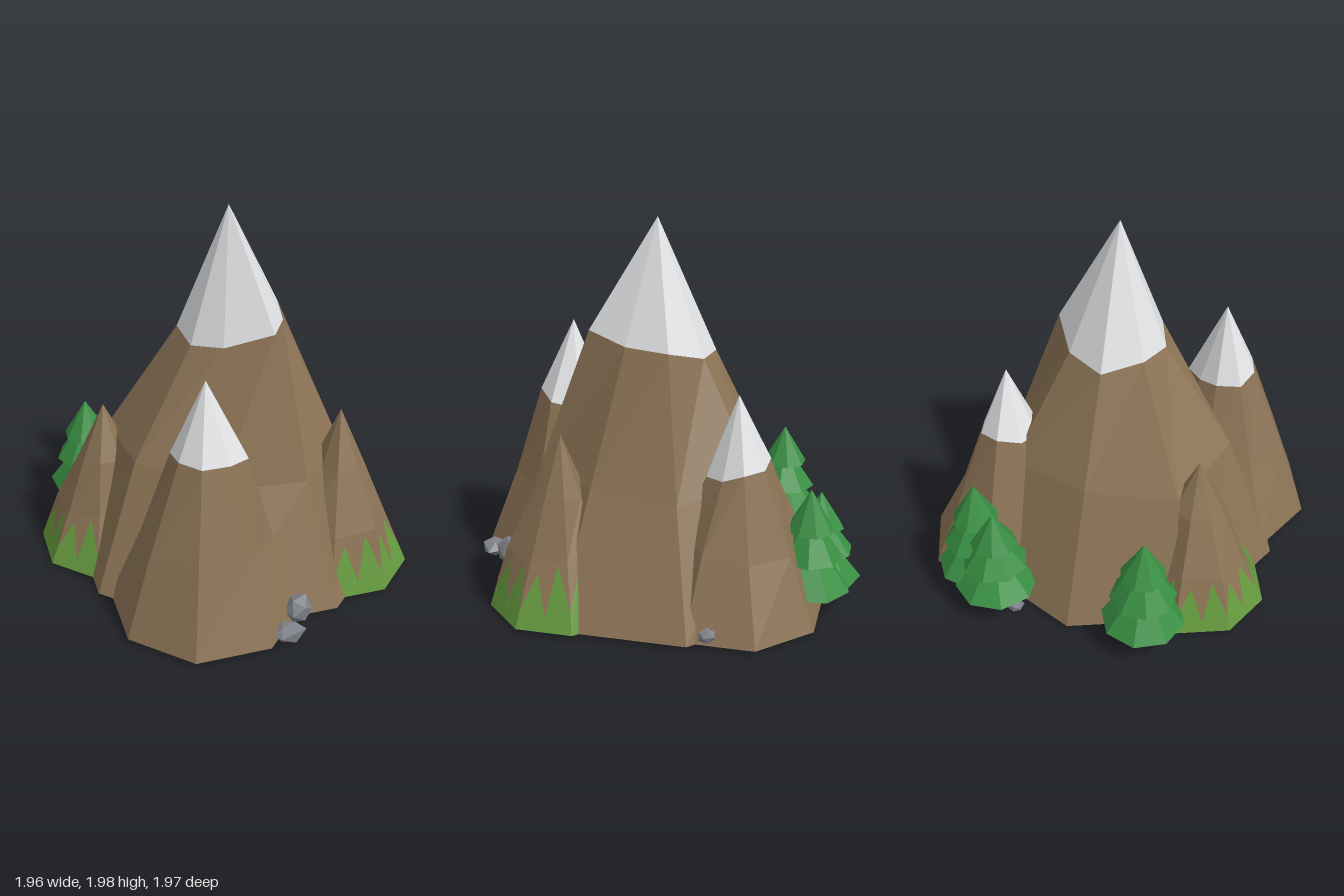
import * as THREE from 'three';

const flat = (name, color) => {
  const m = new THREE.MeshStandardMaterial({ color, flatShading: true });
  m.name = name;
  return m;
};

const SIDES = 8;
const GROUND = 0.04;

// small seeded jitter in -1..1
function seeded(seed) {
  let s = seed;
  return () => {
    s = (s * 16807) % 2147483647;
    return (s / 2147483647) * 2 - 1;
  };
}

function meshFrom(points, material, name) {
  const geo = new THREE.BufferGeometry().setFromPoints(points);
  geo.computeVertexNormals();
  const mesh = new THREE.Mesh(geo, material);
  mesh.name = name;
  return mesh;
}

// quad seen from outside: a, b along the lower edge, d, c along the upper edge
const quad = (out, a, b, c, d) => out.push(b, a, d, b, d, c);

// Faceted peak: three bands from the ground to the apex.
// Radii run east, south-east, south ... north-east.
function makePeak(p, mats) {
  const group = new THREE.Group();
  group.name = p.name;
  const rand = seeded(p.seed);
  const step = (p.top - GROUND) / 3;
  const ring = (radii, heights) => radii.map((r, i) => {
    const a = (i / SIDES) * Math.PI * 2;
    return new THREE.Vector3(p.x + Math.cos(a) * r, heights(i), p.z + Math.sin(a) * r);
  });
  const jitter = (r) => Array.from({ length: SIDES }, () => r * (1 + 0.1 * rand()));

  const base = ring(new Array(SIDES).fill(p.radius), () => GROUND);
  const mid = ring(p.mid || jitter(p.radius * 0.68), () => GROUND + step * (1.03 + 0.08 * rand()));
  const high = ring(p.high || jitter(p.radius * 0.35),
    (i) => (p.highY ? p.highY[i] : GROUND + step * (2 + 0.06 * rand())));
  const apex = new THREE.Vector3(p.x, p.top, p.z);
  const centre = new THREE.Vector3(p.x, GROUND, p.z);

  const rock = [], cap = [], grass = [], floor = [];
  for (let i = 0; i < SIDES; i++) {
    const j = (i + 1) % SIDES;
    floor.push(centre, base[i], base[j]);
    quad(rock, mid[i], mid[j], high[j], high[i]);
    (p.snow ? cap : rock).push(high[j], high[i], apex);
    if (!p.grass) {
      quad(rock, base[i], base[j], mid[j], mid[i]);
      continue;
    }
    // jagged grass line across the lowest band
    const at = (u, v) => base[i].clone().lerp(base[j], u)
      .lerp(mid[i].clone().lerp(mid[j], u), v);
    const line = [0.3, 0.95, 0.2, 0.85, 0.3];
    for (let k = 0; k < 4; k++) {
      const u0 = k / 4, u1 = (k + 1) / 4;
      const a = at(u0, line[k]), b = at(u1, line[k + 1]);
      quad(grass, at(u0, 0), at(u1, 0), b, a);
      quad(rock, a, b, at(u1, 1), at(u0, 1));
    }
  }
  group.add(meshFrom(rock, mats.earth, 'slopes'));
  group.add(meshFrom(floor, mats.grass, 'underside'));
  if (p.snow) group.add(meshFrom(cap, mats.snow, 'snowCap'));
  if (p.grass) group.add(meshFrom(grass, mats.grass, 'grassFringe'));
  return group;
}

// Conifer: trunk and three stacked cones
function makeTree(x, z, top, turn, mats) {
  const tree = new THREE.Group();
  tree.name = 'tree';
  const k = (top - GROUND) / 0.63;
  const trunk = new THREE.Mesh(new THREE.CylinderGeometry(0.025, 0.035, 0.2, 6), mats.bark);
  trunk.name = 'trunk';
  trunk.position.y = 0.09;
  tree.add(trunk);
  [[0.12, 0.41, 0.22], [0.28, 0.53, 0.175], [0.42, 0.63, 0.125]].forEach(([y0, y1, r], i) => {
    const tier = new THREE.Mesh(new THREE.ConeGeometry(r, (y1 - y0) * k, 8), mats.needles);
    tier.name = 'foliageTier';
    tier.position.y = ((y0 + y1) / 2) * k;
    tier.rotation.y = turn + i * 0.3;
    tree.add(tier);
  });
  tree.position.set(x, GROUND, z);
  return tree;
}

// Boulder: irregular faceted stone
function makeBoulder([x, y, z, rx, ry, rz], seed, mats) {
  const geo = new THREE.IcosahedronGeometry(1, 0);
  const pos = geo.attributes.position;
  const v = new THREE.Vector3();
  for (let i = 0; i < pos.count; i++) {
    v.fromBufferAttribute(pos, i);
    const f = 1 + 0.14 * Math.sin(v.x * 5 + v.y * 7 + v.z * 3 + seed);
    pos.setXYZ(i, v.x * f * rx, v.y * f * ry, v.z * f * rz);
  }
  geo.computeVertexNormals();
  const mesh = new THREE.Mesh(geo, mats.stone);
  mesh.name = 'boulder';
  mesh.position.set(x, y, z);
  return mesh;
}

export function createModel() {
  const mats = {
    earth: flat('earthBrown', 0x8b7355),
    snow: flat('snowWhite', 0xe2e4e6),
    grass: flat('grassGreen', 0x659a3e),
    needles: flat('needleGreen', 0x388e42),
    bark: flat('barkBrown', 0x7a5c42),
    stone: flat('stoneGrey', 0x7f828a),
  };
  const model = new THREE.Group();
  model.name = 'mountains';

  const peaks = [
    { name: 'mainPeak', x: 0, z: 0.035, top: 2, radius: 0.885, seed: 11, snow: true,
      mid: [0.59, 0.58, 0.63, 0.54, 0.62, 0.66, 0.58, 0.63],
      high: [0.335, 0.28, 0.36, 0.25, 0.25, 0.27, 0.31, 0.29],
      highY: [1.375, 1.38, 1.42, 1.33, 1.3, 1.32, 1.28, 1.3] },
    { name: 'frontRightPeak', x: -0.47, z: 0.43, top: 1.345, radius: 0.51, seed: 23, snow: true,
      mid: [0.3, 0.34, 0.34, 0.35, 0.36, 0.34, 0.33, 0.33],
      high: [0.2, 0.21, 0.19, 0.18, 0.17, 0.18, 0.16, 0.15],
      highY: [0.89, 0.92, 0.955, 0.95, 0.95, 0.93, 0.93, 0.91] },
    { name: 'backLeftPeak', x: 0.51, z: -0.29, top: 1.205, radius: 0.47, seed: 37, snow: true,
      mid: [0.29, 0.31, 0.31, 0.3, 0.31, 0.31, 0.31, 0.32],
      high: [0.145, 0.14, 0.16, 0.16, 0.16, 0.16, 0.17, 0.16],
      highY: [0.83, 0.79, 0.78, 0.82, 0.82, 0.83, 0.86, 0.84] },
    { name: 'frontLeftFoothill', x: 0.3, z: 0.58, top: 0.97, radius: 0.388, seed: 41, grass: true },
    { name: 'backRightFoothill', x: -0.55, z: -0.34, top: 0.9, radius: 0.38, seed: 59, grass: true },
  ];
  peaks.forEach((p) => model.add(makePeak(p, mats)));

  model.add(makeTree(0.57, -0.66, 0.7, 0.2, mats));
  model.add(makeTree(0.43, -0.755, 0.62, 0.5, mats));
  model.add(makeTree(-0.39, -0.765, 0.67, 0.1, mats));

  const boulders = [
    [-0.21, 0.095, 0.85, 0.08, 0.085, 0.07],
    [-0.34, 0.065, 0.92, 0.09, 0.055, 0.065],
    [0.885, 0.095, -0.07, 0.03, 0.04, 0.05],
    [0.3, 0.07, -0.82, 0.045, 0.04, 0.045],
    [-0.68, 0.06, 0.43, 0.04, 0.03, 0.04],
  ];
  boulders.forEach((b, i) => model.add(makeBoulder(b, i * 1.7, mats)));
  return model;
}
